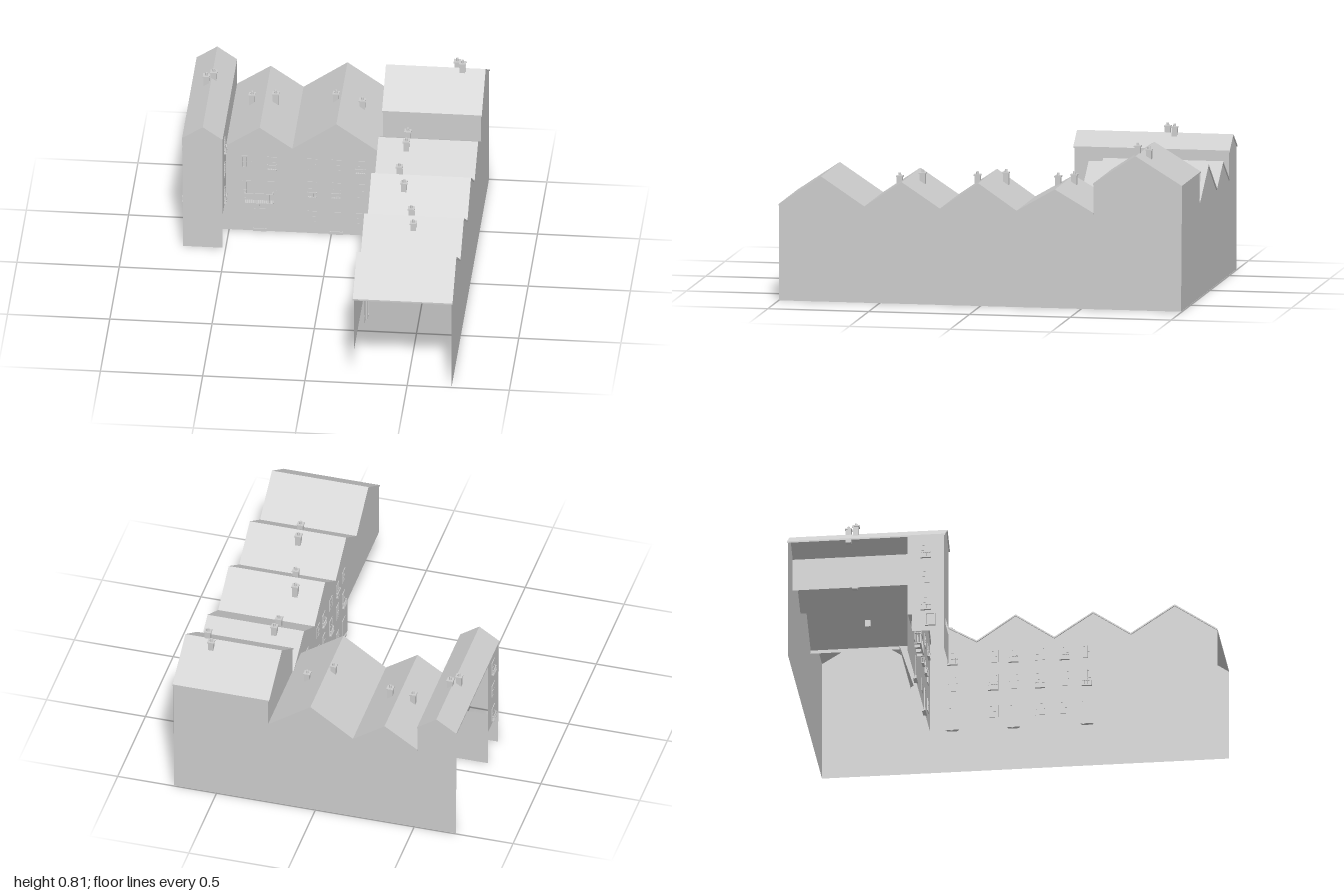
import * as THREE from 'three';

const mat = new THREE.MeshStandardMaterial({ color: 0xcccccc, side: THREE.DoubleSide, flatShading: true });

export function createModel() {
  const root = new THREE.Group();

  // A frame is a vertical plane: 'x' runs along x at a given z, 'z' runs along z at a given x (facing -x).
  const frame = (name, axis, at) => {
    const g = new THREE.Group();
    g.name = name;
    if (axis === 'x') g.position.z = at;
    else { g.rotation.y = -Math.PI / 2; g.position.x = at; }
    root.add(g);
    return g;
  };
  const add = (parent, name, geo, x = 0, y = 0, z = 0) => {
    const m = new THREE.Mesh(geo, mat);
    m.name = name;
    m.position.set(x, y, z);
    parent.add(m);
    return m;
  };
  const box = (parent, name, w, h, d, x, y, z) => add(parent, name, new THREE.BoxGeometry(w, h, d), x, y, z);
  const shapeOf = (pts) => new THREE.Shape(pts.map(([x, y]) => new THREE.Vector2(x, y)));
  const wall = (parent, pts, hole) => {
    const s = shapeOf(pts);
    if (hole) s.holes.push(new THREE.Path(hole.map(([x, y]) => new THREE.Vector2(x, y))));
    return add(parent, 'wall', new THREE.ShapeGeometry(s));
  };

  // Window: frame, pane, sill and an optional railing; out is the outward side of the frame
  const opening = (parent, x, y, w, h, { door = false, grill = false, out = 1 } = {}) => {
    const s = shapeOf([[-w / 2, 0], [w / 2, 0], [w / 2, h], [-w / 2, h]]);
    const t = 0.006;
    s.holes.push(new THREE.Path([[-w / 2 + t, t], [-w / 2 + t, h - t], [w / 2 - t, h - t], [w / 2 - t, t]]
      .map(([a, b]) => new THREE.Vector2(a, b))));
    const f = new THREE.ExtrudeGeometry(s, { depth: 0.014, bevelEnabled: false });
    add(parent, door ? 'doorFrame' : 'windowFrame', f, x, y, out > 0 ? -0.011 : -0.003);
    box(parent, door ? 'door' : 'pane', w - t, h - t, 0.002, x, y + h / 2, out * 0.001);
    if (door) return box(parent, 'doorstep', w + 0.01, 0.015, 0.008, x, 0.008, out * 0.003);
    box(parent, 'mullion', 0.003, h, 0.003, x, y + h / 2, out * 0.002);
    box(parent, 'transom', w, 0.003, 0.003, x, y + h / 2, out * 0.002);
    if (grill) railing(parent, x, y - 0.004, w, 0.026, 0.012, out);
  };
  // Railing: slab, top rail and bars round three sides
  const railing = (parent, x, y, w, h, d, out = 1) => {
    box(parent, 'balconySlab', w, 0.005, d, x, y, out * d / 2);
    box(parent, 'topRail', w, 0.004, 0.004, x, y + h, out * (d - 0.002));
    for (const s of [-1, 1]) box(parent, 'sideRail', 0.004, 0.004, d, x + s * (w / 2 - 0.002), y + h, out * d / 2);
    const n = Math.round(w / 0.0095);
    for (let i = 0; i <= n; i++) {
      box(parent, 'bar', 0.0025, h, 0.0025, x - w / 2 + 0.002 + (w - 0.004) * i / n, y + h / 2, out * (d - 0.002));
    }
  };

  // Roof: folded slab from a to b, swept along the frame's normal from d0 to d1
  const roof = (axis, a, b, mid, eave, top, d0, d1) => {
    const t = 0.008;
    const s = shapeOf([[a, eave - t], [mid, top - t], [b, eave - t], [b, eave], [mid, top], [a, eave]]);
    const g = new THREE.ExtrudeGeometry(s, { depth: d1 - d0, bevelEnabled: false });
    add(frame('roof', axis, 0), 'roofSlopes', g, 0, 0, d0);
  };

  // Side wing houses: [z back, z front, ridge z, ridge y, eave y]
  const wing = [
    [-1, -0.56, -0.77, 0.76, 0.62],
    [-0.56, -0.18, -0.37, 0.585, 0.475],
    [-0.18, 0.2, 0.01, 0.605, 0.475],
    [0.2, 0.575, 0.39, 0.6, 0.475],
    [0.575, 1, 0.79, 0.617, 0.475],
  ];
  // Back row houses: [x left, x right, ridge x, ridge y, eave y, front z]
  const row = [
    [-0.713, -0.515, -0.612, 0.68, 0.613, -0.23],
    [-0.515, -0.19, -0.35, 0.585, 0.475, -0.41],
    [-0.19, 0.24, 0.025, 0.625, 0.475, -0.41],
  ];
  const drop = 0.004;
  const zigzag = (list) => list.flatMap(([a, b, m, t, e]) => [[a, e - drop], [m, t - drop], [b, e - drop]]);

  for (const [a, b, m, t, e] of wing) roof('z', a, b, m, e, t, -0.722, -0.234);
  for (const [a, b, m, t, e, f] of row) roof('x', a, b, m, e, t, -1, f + 0.006);

  // Plain outer walls
  wall(frame('rightOuterWall', 'z', 0.717), [[-0.995, 0], ...zigzag(wing), [1, 0]]);
  wall(frame('backWall', 'x', -0.995), [[-0.71, 0], ...zigzag(row), [0.24, 0.615], [0.717, 0.615], [0.717, 0]]);

  // Upper walls of the tall corner house
  wall(frame('cornerFront', 'x', -0.56), [[0.24, 0.46], [0.717, 0.46], [0.717, 0.617], [0.24, 0.617]]);
  wall(frame('cornerGable', 'z', 0.24), [[-0.995, 0.45], ...zigzag([wing[0]]), [-0.56, 0.45]]);

  // Courtyard front of the side wing, raised over an open passage at its far end
  const side = frame('wingFacade', 'z', 0.24);
  const houses = wing.slice(1);
  wall(side, [[-0.41, 0], ...zigzag(houses), [1, 0.185], [0.43, 0.185], [0.43, 0]]);
  [-0.3, -0.1, 0, 0.13, 0.25, 0.36].forEach((z, i) => {
    opening(side, z, 0.355, 0.05, 0.065, { grill: i % 2 === 0 });
    opening(side, z, 0.21, 0.05, 0.08, { grill: i % 2 === 1 });
    if (i === 0 || i === 2 || i === 5) opening(side, z, 0, 0.055, 0.125, { door: true });
    else opening(side, z, 0.06, 0.05, 0.065);
  });

  // Courtyard front of the back row
  const front = frame('rowFacade', 'x', -0.41);
  wall(front, [[-0.515, 0], ...zigzag(row.slice(1)), [0.24, 0]]);
  [-0.093, 0.025, 0.143].forEach((x, i) => {
    opening(front, x, 0.355, 0.05, 0.065, { grill: i === 2 });
    opening(front, x, 0.21, 0.045, 0.08, { grill: i < 2 });
    if (i === 1) opening(front, x, 0, 0.055, 0.125, { door: true });
    else opening(front, x, 0.06, 0.045, 0.065);
  });
  opening(front, -0.35, 0, 0.055, 0.125, { door: true });
  for (const x of [-0.415, -0.29]) {
    opening(front, x, 0.355, 0.048, 0.065, { grill: x > -0.3 });
    opening(front, x, 0.18, 0.045, 0.1);
  }
  // Long balcony with brackets
  railing(front, -0.352, 0.17, 0.14, 0.054, 0.032);
  for (const x of [-0.405, -0.352, -0.3]) box(front, 'bracket', 0.008, 0.016, 0.026, x, 0.16, 0.013);

  // Narrow house: front with a slot, upper side walls, recessed ground floor
  const nar = frame('narrowFront', 'x', -0.23);
  wall(nar, [[-0.708, 0], ...zigzag([row[0]]), [-0.515, 0]],
    [[-0.66, 0.155], [-0.66, 0.19], [-0.52, 0.19], [-0.52, 0.155]]);
  wall(frame('narrowRecess', 'x', -0.41), [[-0.708, 0], [-0.515, 0], [-0.515, 0.2], [-0.708, 0.2]]);
  for (const [x, out] of [[-0.515, -1], [-0.708, 1]]) {
    const g = frame('narrowSide', 'z', x);
    wall(g, [[-0.41, 0.19], [-0.23, 0.19], [-0.23, 0.61], [-0.41, 0.61]]);
    [0.215, 0.355, 0.495].forEach((y, i) => opening(g, -0.32, y, 0.05, 0.068, { grill: i !== 1, out }));
  }
  wall(frame('narrowUpperWall', 'z', -0.515), [[-0.995, 0.44], [-0.41, 0.44], [-0.41, 0.61], [-0.995, 0.61]]);

  // Chimneys: [x, z, top y]
  const stacks = [
    [0.58, -0.81, 0.79], [0.61, -0.76, 0.81], [0.375, -0.4, 0.625], [0.375, -0.32, 0.615],
    [0.365, 0.06 - 0.12, 0.625], [0.4, 0.075, 0.615], [0.46, 0.335, 0.625], [0.48, 0.445, 0.61],
    [0, -0.67, 0.66], [0.125, -0.7, 0.61], [-0.415, -0.715, 0.605], [-0.3, -0.715, 0.617],
    [-0.635, -0.67, 0.725], [-0.602, -0.71, 0.725],
  ];
  for (const [x, z, top] of stacks) {
    const g = new THREE.Group();
    g.name = 'chimney';
    g.position.set(x, top, z);
    root.add(g);
    box(g, 'stack', 0.027, 0.07, 0.027, 0, -0.053, 0);
    box(g, 'cap', 0.034, 0.006, 0.034, 0, -0.017, 0);
    add(g, 'pot', new THREE.CylinderGeometry(0.006, 0.008, 0.016, 8), 0, -0.008, 0);
  }
  return root;
}
